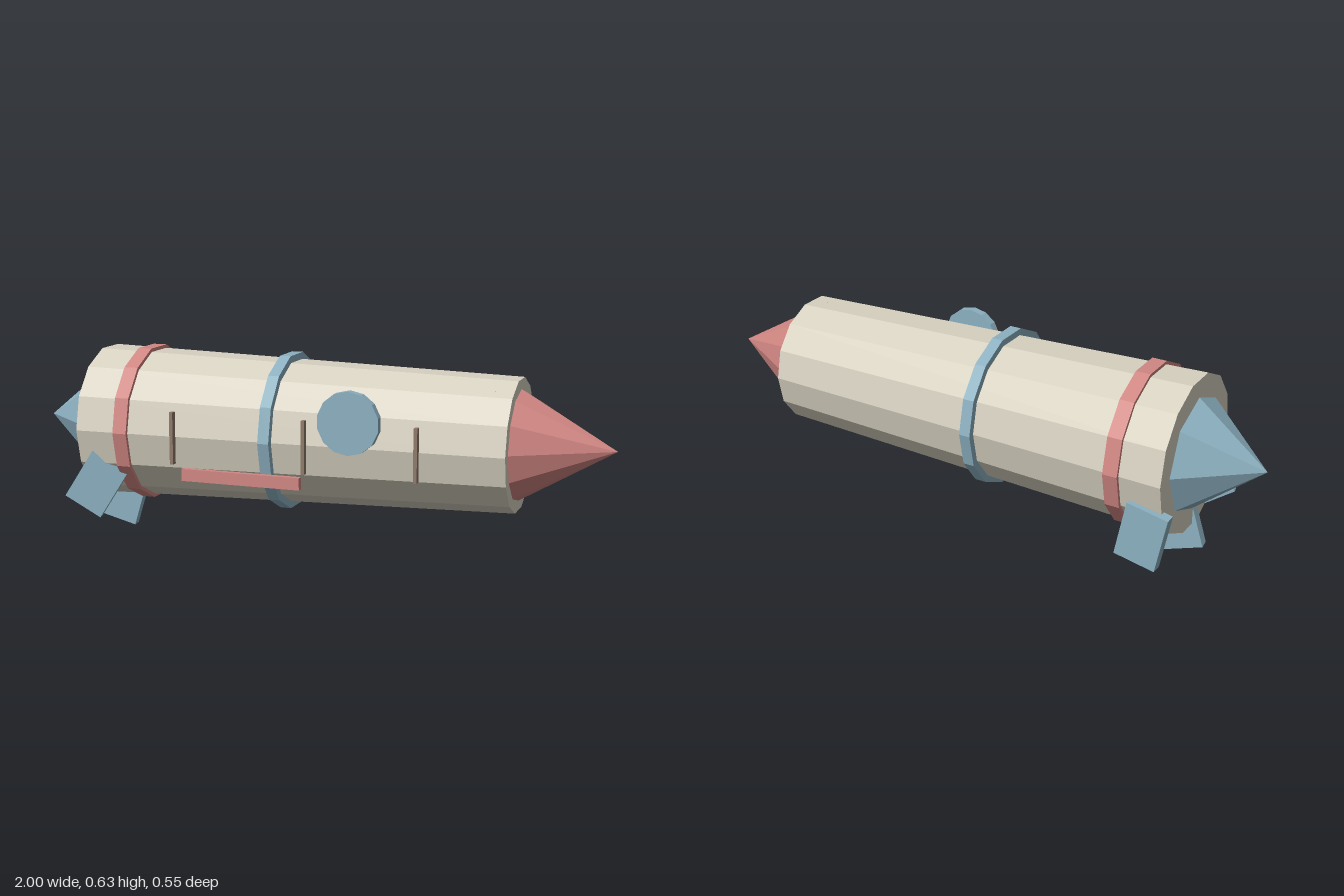
import * as THREE from 'three';

const mat = (name, color) => {
  const m = new THREE.MeshStandardMaterial({ color, flatShading: true });
  m.name = name;
  return m;
};

export function createModel() {
  const group = new THREE.Group();
  group.name = 'rocket';
  const cream = mat('cream hull', 0xd6d0c0);
  const red = mat('faded red', 0xd08682);
  const blue = mat('dusty blue', 0x8cb0c0);
  const brown = mat('brown', 0x8f7a6a);
  const axisY = 0.375, axisZ = -0.007;

  const add = (name, geometry, material, x, y, z) => {
    const mesh = new THREE.Mesh(geometry, material);
    mesh.name = name;
    mesh.position.set(x, y, z);
    group.add(mesh);
    return mesh;
  };

  // Tapered section lying along x, from x0 (radius r0) to x1 (radius r1)
  const section = (name, x0, r0, x1, r1, sides, material) => {
    const geometry = new THREE.CylinderGeometry(r1, r0, x1 - x0, sides);
    geometry.rotateZ(-Math.PI / 2);
    return add(name, geometry, material, (x0 + x1) / 2, axisY, axisZ);
  };

  // Hull, cones and bands
  section('hull', -0.765, 0.2595, 0.69, 0.219, 14, cream);
  section('noseCone', 0.63, 0.2165, 1, 0, 12, red);
  section('tailCone', -1, 0, -0.76, 0.197, 8, blue);
  section('rearBand', -0.626, 0.2665, -0.577, 0.2665, 14, red);
  section('middleBand', -0.108, 0.264, -0.07, 0.264, 14, blue);

  // Tail fins: y, z, turn about y, tilt about z
  [
    [0.192, 0.2145, 0.25, -0.56],
    [0.114, 0.0165, 0.126, -0.29],
    [0.19, -0.246, 0, 0.19],
  ].forEach(([y, z, turn, tilt], i) => {
    const fin = add(`fin${i + 1}`, new THREE.BoxGeometry(0.14, 0.19, 0.038), blue, -0.709, y, z);
    fin.rotation.set(0, turn, tilt, 'YXZ');
  });

  // Round window on the front side
  const disc = new THREE.CylinderGeometry(0.102, 0.102, 0.029, 14);
  disc.rotateX(Math.PI / 2);
  add('window', disc, blue, 0.203, 0.463, 0.261);

  // Upright strips and the long trim bar
  [-0.405, 0.052, 0.422].forEach((x, i) =>
    add(`strip${i + 1}`, new THREE.BoxGeometry(0.012, 0.173, 0.02), brown, x, 0.375, 0.262));
  add('trimBar', new THREE.BoxGeometry(0.41, 0.04, 0.02), red, -0.165, 0.256, 0.262);

  return group;
}
